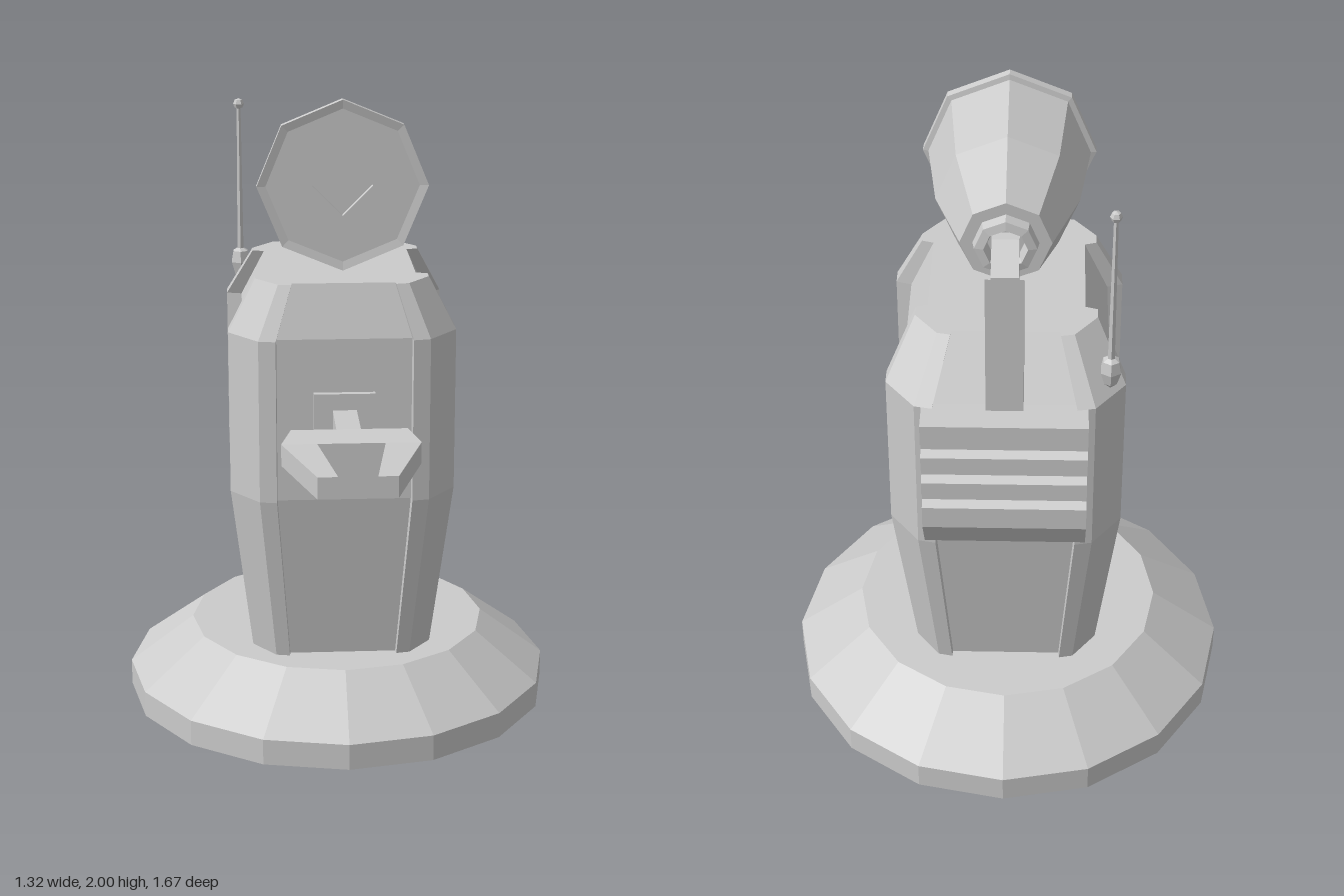
import * as THREE from 'three';

const material = new THREE.MeshStandardMaterial({ color: 0xcccccc, flatShading: true, side: THREE.DoubleSide });

function add(parent, name, geometry, x = 0, y = 0, z = 0) {
  const mesh = new THREE.Mesh(geometry, material);
  mesh.name = name;
  mesh.position.set(x, y, z);
  parent.add(mesh);
  return mesh;
}

// Solid skin through equal, convex rings of [x, y, z] corners
function loft(rings) {
  const n = rings[0].length, index = [];
  for (let r = 0; r < rings.length - 1; r++) {
    for (let i = 0; i < n; i++) {
      const a = r * n + i, b = r * n + (i + 1) % n;
      index.push(a, b, b + n, a, b + n, a + n);
    }
  }
  const top = (rings.length - 1) * n;
  for (let i = 1; i < n - 1; i++) {
    index.push(0, i + 1, i, top, top + i, top + i + 1);
  }
  const geometry = new THREE.BufferGeometry();
  geometry.setAttribute('position', new THREE.Float32BufferAttribute(rings.flat(2), 3));
  geometry.setIndex(index);
  const flat = geometry.toNonIndexed();
  flat.computeVertexNormals();
  return flat;
}

const shapeOf = (points) => new THREE.Shape(points.map(([x, y]) => new THREE.Vector2(x, y)));
const lathe = (points, sides) => new THREE.LatheGeometry(points.map(([r, y]) => new THREE.Vector2(r, y)), sides);

// Side profile of [z, y] points, extruded across x
function across(points, width) {
  return new THREE.ExtrudeGeometry(shapeOf(points), { depth: width, bevelEnabled: false })
    .rotateY(-Math.PI / 2).translate(width / 2, 0, 0);
}

// Body levels: height, scale, centre z
const levels = [[0.3, 0.81, -0.155], [0.83, 1, -0.15], [1.32, 1, -0.15], [1.475, 0.76, -0.11]];
const bodyLoft = (section) => loft(levels.map(([y, s, cz]) => section.map(([x, z]) => [x * s, y, z * s + cz])));

// Apply a corner outline to one quadrant, keeping the winding
function quadrant(points, sx, sz) {
  const out = points.map(([x, z]) => [x * sx, z * sz]);
  return sx * sz < 0 ? out.reverse() : out;
}

export function createModel() {
  const model = new THREE.Group();
  model.name = 'robot';

  // Skirted base with a hollow underside
  add(model, 'base', lathe([[0, 0.05], [0.37, 0.05], [0.42, 0], [0.66, 0.08], [0.66, 0.16], [0.46, 0.31], [0, 0.31]], 16), 0, 0, -0.177);

  // Tapered body with a guard on each corner
  const body = new THREE.Group();
  body.name = 'body';
  model.add(body);
  const core = [[0.2, 0.365], [0.29, 0.25], [0.29, -0.25], [0.2, -0.365],
    [-0.2, -0.365], [-0.29, -0.25], [-0.29, 0.25], [-0.2, 0.365]];
  add(body, 'bodyCore', bodyLoft(core));
  const guard = [[0.19, 0.3], [0.2, 0.39], [0.25, 0.38], [0.335, 0.27], [0.335, 0.22], [0.27, 0.2]];
  for (const sx of [1, -1]) {
    for (const sz of [1, -1]) add(body, 'cornerGuard', bodyLoft(quadrant(guard, sx, sz)));
  }

  // Back vent with three slots
  const vent = [[-0.48, 1.32], [-0.48, 0.83], [-0.54, 0.84], [-0.62, 0.96]];
  for (const y of [1.03, 1.12, 1.21]) {
    vent.push([-0.62, y], [-0.595, y + 0.012], [-0.595, y + 0.035], [-0.62, y + 0.047]);
  }
  vent.push([-0.62, 1.32]);
  add(model, 'backVent', across(vent, 0.46));

  // Neck channel at the back, with the link to the head
  const neck = new THREE.Group();
  neck.name = 'neck';
  model.add(neck);
  const cheek = [[-0.43, 1.3], [-0.43, 1.63], [-0.545, 1.755], [-0.545, 1.3]];
  for (const s of [1, -1]) add(neck, 'neckCheek', across(cheek, 0.014), s * 0.045);
  add(neck, 'neckBack', across([[-0.53, 1.3], [-0.53, 1.738], [-0.545, 1.755], [-0.545, 1.3]], 0.1));
  add(neck, 'neckFill', across([[-0.432, 1.3], [-0.432, 1.62], [-0.54, 1.62], [-0.54, 1.3]], 0.08));
  add(neck, 'neckLink', across([[-0.34, 1.785], [-0.4, 1.785], [-0.5, 1.73], [-0.5, 1.62], [-0.47, 1.67], [-0.38, 1.715], [-0.34, 1.715]], 0.075));

  // Eight-sided head pointing forward
  const head = new THREE.Group();
  head.name = 'head';
  head.position.set(0, 1.752, 0);
  model.add(head);
  const shell = [[0.05, -0.365], [0.06, -0.4], [0.085, -0.395], [0.09, -0.365], [0.125, -0.365],
    [0.2, -0.15], [0.232, 0.105], [0.248, 0.108], [0.248, 0.135], [0.222, 0.13]];
  add(head, 'headShell', lathe([[0, -0.365], ...shell], 8).rotateX(Math.PI / 2));

  // Face plate with a sunken diamond
  const polygon = (sides, r) => Array.from({ length: sides }, (_, i) =>
    [r * Math.cos(i * 2 * Math.PI / sides), r * Math.sin(i * 2 * Math.PI / sides)]);
  const plate = shapeOf(polygon(8, 0.223));
  plate.holes.push(shapeOf(polygon(4, 0.088)));
  add(head, 'facePlate', new THREE.ExtrudeGeometry(plate, { depth: 0.03, bevelEnabled: false }), 0, 0, 0.1);
  add(head, 'diamondLens', new THREE.CircleGeometry(0.1, 4), 0, 0, 0.108);

  // Aerial on the right shoulder
  const aerial = new THREE.Group();
  aerial.name = 'aerial';
  aerial.position.set(-0.29, 0, -0.46);
  model.add(aerial);
  add(aerial, 'aerialBase', lathe([[0, 1.34], [0.02, 1.36], [0.032, 1.4], [0.025, 1.435], [0, 1.45]], 6));
  add(aerial, 'aerialRod', new THREE.CylinderGeometry(0.007, 0.011, 0.48, 6), 0, 1.66, 0);
  add(aerial, 'aerialTip', new THREE.SphereGeometry(0.017, 6, 4), 0, 1.9, 0);

  // Arm with a mounting plate, wedge wrist and two fingers
  const arm = new THREE.Group();
  arm.name = 'arm';
  arm.position.y = 1.08;
  model.add(arm);
  add(arm, 'armMount', new THREE.BoxGeometry(0.18, 0.16, 0.07), 0, 0, 0.2);
  add(arm, 'armRod', new THREE.BoxGeometry(0.07, 0.062, 0.28), 0, 0, 0.33);
  const rect = (x, y, z) => [[-x, -y, z], [x, -y, z], [x, y, z], [-x, y, z]];
  add(arm, 'wrist', loft([rect(0.165, 0.041, 0.45), rect(0.195, 0.031, 0.55)]));
  for (const s of [1, -1]) {
    const finger = shapeOf([[s * 0.095, 0.55], [s * 0.195, 0.55], [s * 0.108, 0.838], [s * 0.053, 0.838]]);
    add(arm, 'clawFinger', new THREE.ExtrudeGeometry(finger, { depth: 0.062, bevelEnabled: false }).rotateX(Math.PI / 2), 0, 0.031, 0);
  }
  return model;
}
